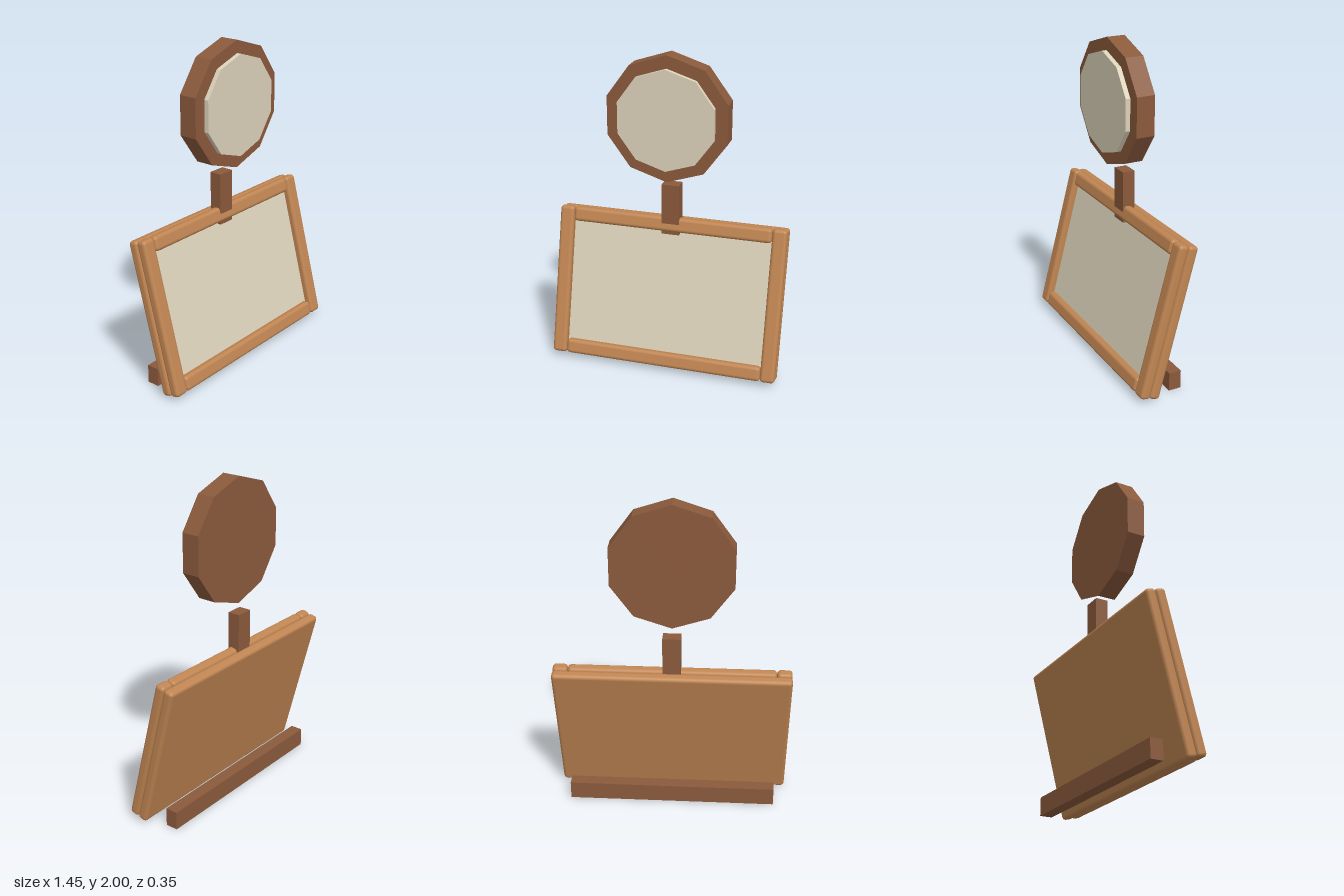
import * as THREE from 'three';
import { RoundedBoxGeometry } from 'three/addons/geometries/RoundedBoxGeometry.js';

export function createModel() {
  const material = (name, color, extra = {}) => {
    const m = new THREE.MeshStandardMaterial({ color, ...extra });
    m.name = name;
    return m;
  };
  const lightWood = material('light wood', 0xc08552);
  const darkWood = material('dark wood', 0x8b5a3c);
  const cream = material('cream', 0xdcd2ba);

  const model = new THREE.Group();
  model.name = 'standingSign';

  const add = (parent, name, geometry, mat, x, y, z) => {
    const mesh = new THREE.Mesh(geometry, mat);
    mesh.name = name;
    mesh.position.set(x, y, z);
    parent.add(mesh);
    return mesh;
  };
  const rounded = (w, h, d) => new RoundedBoxGeometry(w, h, d, 3, 0.022);

  // Leaning board: local y runs up the slope, local z points out of its face
  const board = new THREE.Group();
  board.name = 'leaningBoard';
  board.position.set(0, 0.487, 0);
  board.rotation.x = -0.253;
  model.add(board);
  add(board, 'backBoard', rounded(1.45, 0.956, 0.064), lightWood, 0, 0, -0.032);
  add(board, 'writingPanel', new THREE.BoxGeometry(1.27, 0.82, 0.02), cream, 0, 0, 0.012);
  for (const s of [1, -1]) {
    add(board, s > 0 ? 'leftRail' : 'rightRail', rounded(0.092, 0.956, 0.064), lightWood, s * 0.679, 0, 0.032);
    add(board, s > 0 ? 'topRail' : 'bottomRail', rounded(1.264, 0.092, 0.062), lightWood, 0, s * 0.432, 0.031);
  }

  // Post and foot
  add(model, 'post', new THREE.BoxGeometry(0.11, 0.325, 0.078), darkWood, 0, 1.0175, -0.088);
  add(model, 'foot', new THREE.BoxGeometry(1.3, 0.115, 0.078), darkWood, 0, 0.0575, -0.088);

  // Ten-sided disc with a point at the top; the rim facet at the lower left stays open
  const disc = (name, radius, back, front, mat) => {
    const group = new THREE.Group();
    group.name = name;
    group.position.y = 1.615;
    model.add(group);
    const depth = front - back;
    const rim = new THREE.CylinderGeometry(radius, radius, depth, 9, 1, true, Math.PI / 5, Math.PI * 1.8)
      .rotateX(Math.PI / 2).toNonIndexed();
    rim.computeVertexNormals();
    add(group, name + 'Rim', rim, mat, 0, 0, (front + back) / 2);
    const face = new THREE.CircleGeometry(radius, 10, Math.PI / 2);
    add(group, name + 'Front', face, mat, 0, 0, front);
    add(group, name + 'Back', face, mat, 0, 0, back).rotation.y = Math.PI;
  };
  disc('roundFrame', 0.385, -0.083, 0.031, darkWood);
  disc('roundFace', 0.308, 0.033, 0.062, cream);

  return model;
}
